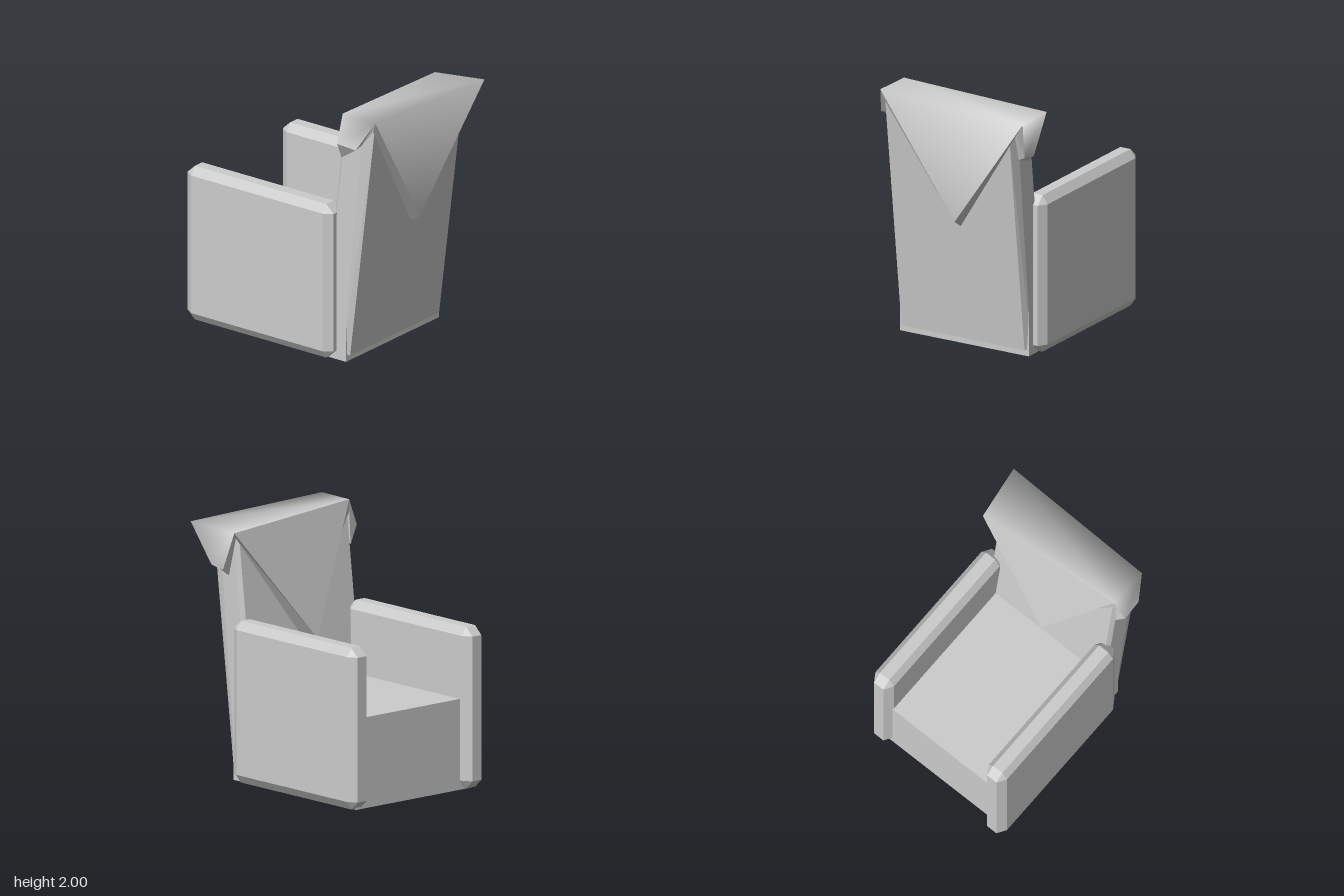
import * as THREE from 'three';
import { ConvexGeometry } from 'three/addons/geometries/ConvexGeometry.js';

const grey = new THREE.MeshStandardMaterial({ color: 0xcccccc, flatShading: true });
const clothFlat = new THREE.MeshStandardMaterial({ color: 0xcccccc, flatShading: true, side: THREE.DoubleSide });
const clothSmooth = new THREE.MeshStandardMaterial({ color: 0xcccccc, side: THREE.DoubleSide });

function part(name, geometry, material = grey) {
  const mesh = new THREE.Mesh(geometry, material);
  mesh.name = name;
  return mesh;
}

// Box with every edge cut at an angle
function chamferedBox(w, h, d, cx, cy, cz) {
  const points = [];
  for (const sx of [-1, 1]) for (const sy of [-1, 1]) for (const sz of [-1, 1]) {
    const x = w / 2, y = h / 2, z = d / 2;
    points.push(
      new THREE.Vector3(sx * x, sy * (y - cy), sz * (z - cz)),
      new THREE.Vector3(sx * (x - cx), sy * y, sz * (z - cz)),
      new THREE.Vector3(sx * (x - cx), sy * (y - cy), sz * z));
  }
  return new ConvexGeometry(points);
}

// Leaning slab whose side faces taper in slightly at front and rear
function leaningSlab() {
  const points = [];
  const levels = [[0.05, 0.32, 0.36, 0.548, 0.60], [1.9, 0.547, 0.58, 0.74, 0.83]];
  for (const [y, front, sideFront, sideRear, rear] of levels) {
    for (const [x, inset] of [[front, 0.025], [sideFront, 0], [sideRear, 0], [rear, 0.025]]) {
      points.push(new THREE.Vector3(x, y, 0.6 - inset), new THREE.Vector3(x, y, -0.54 + inset));
    }
  }
  return new ConvexGeometry(points);
}

function surface(points, triangles) {
  const g = new THREE.BufferGeometry();
  g.setAttribute('position', new THREE.Float32BufferAttribute(points.flat(), 3));
  g.setIndex(triangles.flat());
  g.computeVertexNormals();
  return g;
}

// Thick cloth laid cornerwise over the backrest: outer rim, inner rim, hem between
function drape() {
  const group = new THREE.Group();
  group.name = 'drape';
  const outer = [
    [0.54, 2, 0.59], [0.56, 1.79, 0.685], [0.73, 1.775, 0.675], [0.86, 2, 0.6],
    [0.80, 1.04, -0.02], [0.90, 1.96, -0.685], [0.75, 1.64, -0.61], [0.62, 1.62, -0.61],
    [0.47, 1.93, -0.63], [0.31, 1.04, 0.07], [0.43, 1.42, 0.28]];
  const inner = [
    [0.55, 1.9, 0.6], [0.54, 1.65, 0.605], [0.73, 1.79, 0.605], [0.83, 1.92, 0.59],
    [0.715, 0.98, -0.02], [0.83, 1.9, -0.56], [0.74, 1.61, -0.55], [0.62, 1.57, -0.55],
    [0.53, 1.87, -0.56], [0.42, 1.0, 0.05], [0.48, 1.38, 0.26]];
  // top, rear point and the two side flaps
  const over = [[0, 3, 5], [0, 5, 8], [5, 3, 4], [3, 0, 1], [3, 1, 2], [8, 5, 6], [8, 6, 7]];
  const front = [[0, 8, 9], [0, 9, 10]];
  const n = outer.length;
  const hem = [];
  for (let i = 0; i < n; i++) {
    const j = (i + 1) % n;
    hem.push([j, i, n + i], [j, n + i, n + j]);
  }
  const lining = [...over, ...front].map(([a, b, c]) => [a, c, b]);
  group.add(
    part('drapeTopAndBack', surface(outer, over), clothSmooth),
    part('drapeFront', surface(outer, front), clothFlat),
    part('drapeHem', surface([...outer, ...inner], hem), clothFlat),
    part('drapeLining', surface(inner, lining), clothFlat));
  return group;
}

export function createModel() {
  const model = new THREE.Group();
  model.name = 'armchair';

  // Seat block
  const seat = part('seat', new THREE.BoxGeometry(1.39, 0.7, 1.14));
  seat.position.set(-0.115, 0.35, 0.03);
  model.add(seat);

  // Two armrests
  for (const [name, x, z] of [['armrestFront', -0.205, 0.592], ['armrestBack', -0.175, -0.537]]) {
    const arm = part(name, chamferedBox(1.39, 1.245, 0.18, 0.07, 0.065, 0.045));
    arm.position.set(x, 0.63, z);
    model.add(arm);
  }

  // Backrest and the cloth over it
  model.add(part('backrest', leaningSlab()), drape());
  return model;
}
